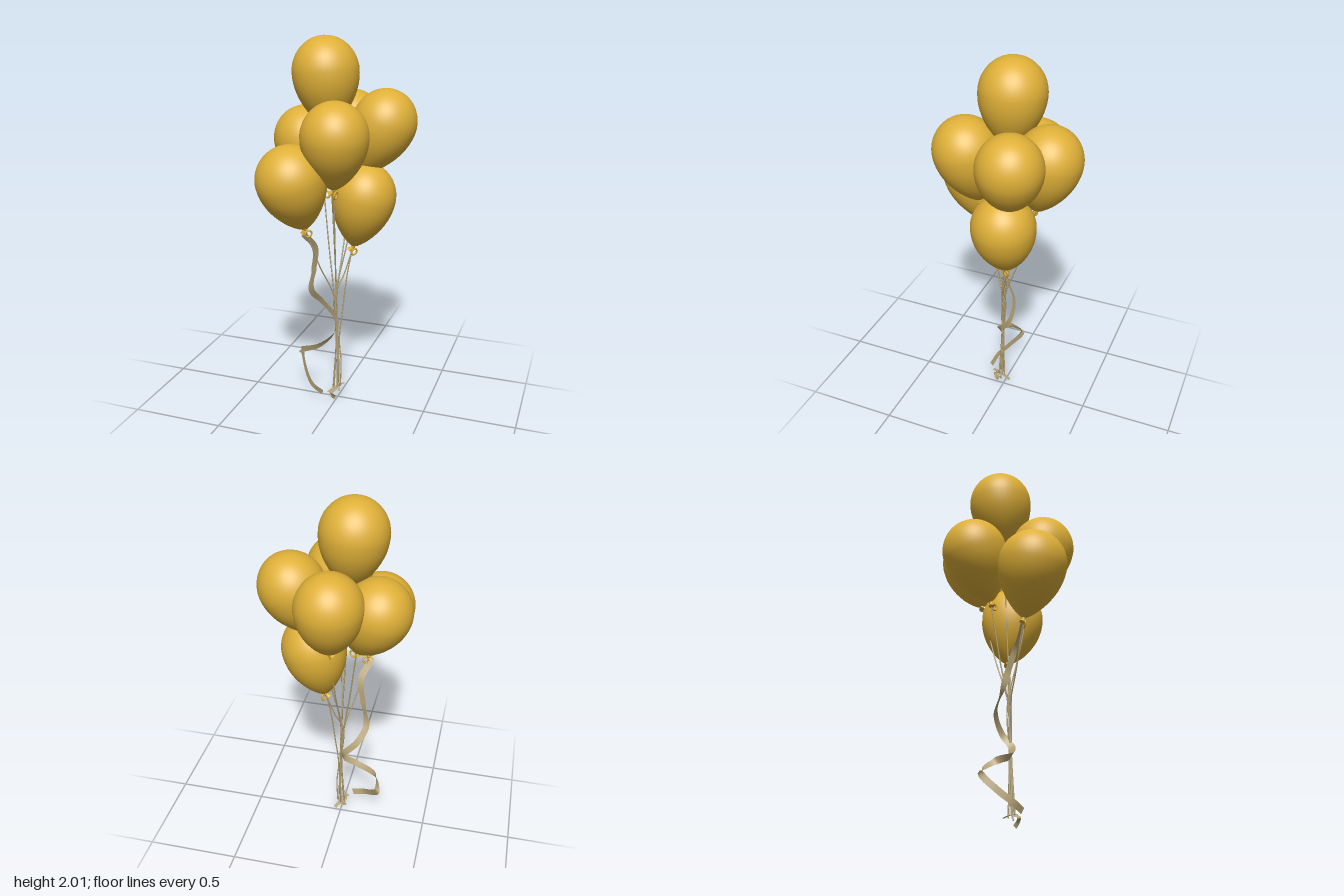
import * as THREE from 'three';

const V = (x, y, z) => new THREE.Vector3(x, y, z);
const gold = new THREE.MeshStandardMaterial({ color: 0xdfb038 });
gold.name = 'balloon gold';
const tan = new THREE.MeshStandardMaterial({ color: 0xb8a67a, side: THREE.DoubleSide });
tan.name = 'ribbon tan';

// Widest point of each balloon, then the tip it tapers to
const balloons = [
  { name: 'topBalloon', centre: V(-0.072, 1.822, -0.02), tip: V(-0.05, 1.54, -0.01), r: 1 },
  { name: 'frontRightBalloon', centre: V(-0.17, 1.31, 0.23), tip: V(-0.125, 1.03, 0.15), r: 1.045 },
  { name: 'frontBalloon', centre: V(0.046, 1.53, 0.182), tip: V(0.02, 1.25, 0.12), r: 1 },
  { name: 'leftBalloon', centre: V(0.212, 1.56, -0.12), tip: V(0.1, 1.29, -0.075), r: 0.98 },
  { name: 'rightBalloon', centre: V(-0.21, 1.457, -0.1), tip: V(-0.1, 1.19, -0.06), r: 1.01 },
  { name: 'backBalloon', centre: V(0, 1.53, -0.24), tip: V(0.015, 1.25, -0.185), r: 1 },
  { name: 'lowLeftBalloon', centre: V(0.128, 1.18, -0.053), tip: V(0.078, 0.93, -0.052), r: 0.98 },
];

// Teardrop profile, tip to crown, with the widest ring at y = 0
function balloonGeometry() {
  const lower = [[0.01, -0.287], [0.03, -0.275], [0.073, -0.235], [0.115, -0.18], [0.147, -0.12], [0.166, -0.06]];
  const pts = lower.map(([x, y]) => V(x, y, 0));
  for (let i = 0; i <= 8; i++) {
    const a = (i / 8) * Math.PI / 2;
    pts.push(V(0.172 * Math.cos(a), 0.18 * Math.sin(a), 0));
  }
  const profile = new THREE.CatmullRomCurve3(pts).getPoints(32).map(p => new THREE.Vector2(Math.max(p.x, 0), p.y));
  return new THREE.LatheGeometry(profile, 40);
}

// Flat band along a smooth path, its width kept close to the given axis
function bandGeometry(points, width, axis, segments) {
  const curve = new THREE.CatmullRomCurve3(points);
  const pos = [], index = [];
  for (let i = 0; i <= segments; i++) {
    const p = curve.getPoint(i / segments), t = curve.getTangent(i / segments);
    const w = axis.clone().addScaledVector(t, -axis.dot(t)).normalize().multiplyScalar(width / 2);
    pos.push(...p.clone().add(w).toArray(), ...p.clone().sub(w).toArray());
    if (i < segments) {
      const k = i * 2;
      index.push(k, k + 1, k + 2, k + 1, k + 3, k + 2);
    }
  }
  const g = new THREE.BufferGeometry();
  g.setAttribute('position', new THREE.Float32BufferAttribute(pos, 3));
  g.setIndex(index);
  g.computeVertexNormals();
  return g;
}

export function createModel() {
  const model = new THREE.Group();
  model.name = 'balloonBunch';
  const add = (parent, geometry, material, name) => {
    const m = new THREE.Mesh(geometry, material);
    m.name = name;
    parent.add(m);
    return m;
  };

  const skin = balloonGeometry();
  const neck = new THREE.CylinderGeometry(0.008, 0.016, 0.022, 10);
  const knot = new THREE.SphereGeometry(0.011, 10, 8);
  const loop = new THREE.TorusGeometry(0.018, 0.005, 6, 16);

  balloons.forEach((b, i) => {
    // Balloon with knot, flared lip and a rolled loop
    const group = new THREE.Group();
    group.name = b.name;
    const axis = b.centre.clone().sub(b.tip).normalize();
    group.position.copy(b.centre);
    group.quaternion.setFromUnitVectors(V(0, 1, 0), axis);
    add(group, skin, gold, 'balloonSkin').scale.set(b.r, 1, b.r);
    add(group, knot, gold, 'knot').position.y = -0.292;
    const lip = add(group, neck, gold, 'lip');
    lip.position.set(-0.009, -0.305, 0.004);
    lip.rotation.z = -0.6;
    const ring = add(group, loop, gold, 'knotLoop');
    ring.position.set(0.012, -0.318, 0.004);
    ring.rotation.y = i * 0.7;
    model.add(group);

    // String gathered into the bundle, then falling to the base
    const a = i * 2.4, start = b.centre.clone().addScaledVector(axis, -0.295);
    const gather = V(-0.012 + 0.008 * Math.cos(a), 0.62, 0.004 + 0.012 * Math.sin(a));
    const path = new THREE.CatmullRomCurve3([
      start,
      start.clone().lerp(gather, 0.5).add(V(0, -0.02, 0)),
      gather,
      V(-0.002 + 0.005 * Math.cos(a), 0.38, 0.004 + 0.006 * Math.sin(a)),
      V(-0.006 + 0.018 * Math.cos(a), 0.04 + 0.006 * i, 0.012 + 0.018 * Math.sin(a)),
    ]);
    add(model, new THREE.TubeGeometry(path, 28, 0.0038, 5), tan, 'string');
  });

  // Loose outer string
  const outer = new THREE.CatmullRomCurve3([
    V(0.072, 0.91, -0.052), V(0.045, 0.75, -0.035), V(0.026, 0.55, -0.015), V(0.01, 0.36, 0), V(0.022, 0.22, 0.005), V(0.018, 0.07, 0.008),
  ]);
  add(model, new THREE.TubeGeometry(outer, 28, 0.0038, 5), tan, 'outerString');

  // Curled ribbon
  add(model, bandGeometry([
    V(-0.135, 1.0, 0.145), V(-0.095, 0.92, 0.095), V(-0.115, 0.78, 0.06), V(-0.14, 0.64, 0.03),
    V(-0.1, 0.56, -0.025), V(-0.025, 0.47, -0.03), V(-0.015, 0.4, 0.02), V(-0.09, 0.33, 0.06),
    V(-0.2, 0.28, 0.04), V(-0.225, 0.23, -0.03), V(-0.18, 0.15, 0.03), V(-0.12, 0.095, 0.085), V(-0.055, 0.065, 0.1),
  ], 0.036, V(0.5, 1, 0.35), 90), tan, 'curledRibbon');

  // Tie and short tails at the base
  add(model, bandGeometry([
    V(-0.03, 0.06, 0.075), V(-0.01, 0.065, 0.03), V(0.005, 0.066, -0.01), V(0.022, 0.06, -0.05),
  ], 0.02, V(1, 0.15, 0), 16), tan, 'baseTie');
  add(model, bandGeometry([
    V(0.002, 0.066, 0.03), V(-0.018, 0.045, 0.06), V(-0.008, 0.025, 0.048), V(-0.02, 0.003, 0.038),
  ], 0.026, V(1, 0.25, 0.4), 16), tan, 'baseTail');

  return model;
}
